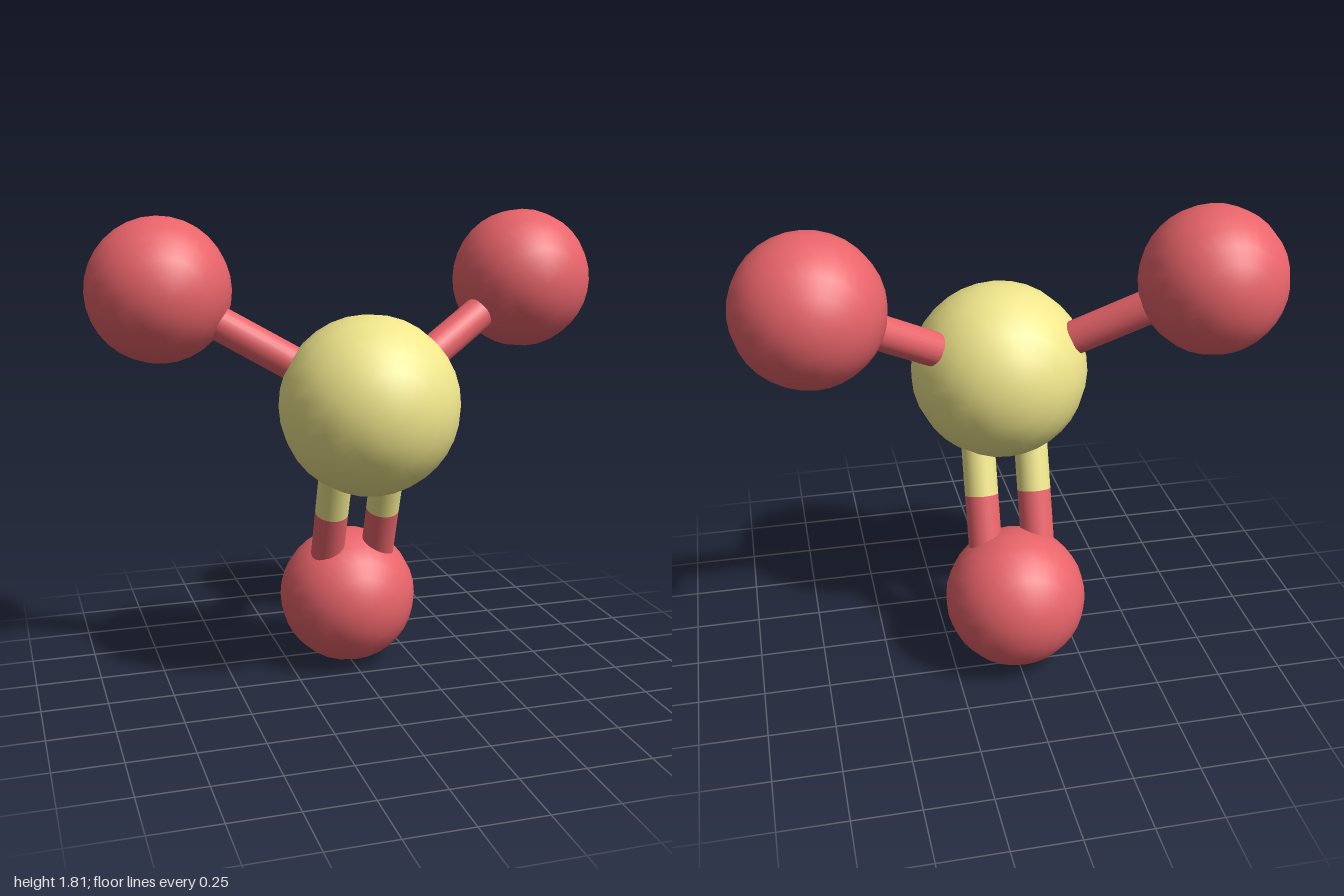
import * as THREE from 'three';

const yellow = new THREE.MeshStandardMaterial({ color: 0xf0e68c });
const red = new THREE.MeshStandardMaterial({ color: 0xe8646a });
const BOND_RADIUS = 0.065;

// Atom: a smooth sphere with its poles along z
function atom(name, center, radius, material) {
  const geometry = new THREE.SphereGeometry(radius, 32, 12).rotateX(Math.PI / 2);
  const mesh = new THREE.Mesh(geometry, material);
  mesh.name = name;
  mesh.position.copy(center);
  return mesh;
}

// Bond: a rod between two points
function rod(name, a, b, material) {
  const geometry = new THREE.CylinderGeometry(BOND_RADIUS, BOND_RADIUS, a.distanceTo(b), 24);
  const mesh = new THREE.Mesh(geometry, material);
  mesh.name = name;
  mesh.position.copy(a).lerp(b, 0.5);
  mesh.quaternion.setFromUnitVectors(new THREE.Vector3(0, 1, 0), b.clone().sub(a).normalize());
  return mesh;
}

export function createModel() {
  const model = new THREE.Group();
  model.name = 'molecule';

  const core = new THREE.Vector3(0, 1.116, 0.116);
  const lower = new THREE.Vector3(0, 0.274, -0.19);
  model.add(atom('centralAtom', core, 0.34, yellow));
  model.add(atom('lowerAtom', lower, 0.273, red));

  for (const [side, s] of [['left', 1], ['right', -1]]) {
    // Upper atom with its single bond
    const upper = new THREE.Vector3(s * 0.727, 1.535, -0.19);
    model.add(atom(side + 'UpperAtom', upper, 0.273, red));
    model.add(rod(side + 'SingleBond', core, upper, red));

    // One strand of the double bond, in two colours
    const offset = new THREE.Vector3(s * 0.104, 0, 0);
    const start = core.clone().add(offset);
    const end = lower.clone().add(offset);
    const split = start.clone().lerp(end, 0.535);
    model.add(rod(side + 'DoubleBondUpper', start, split, yellow));
    model.add(rod(side + 'DoubleBondLower', split, end, red));
  }
  return model;
}
